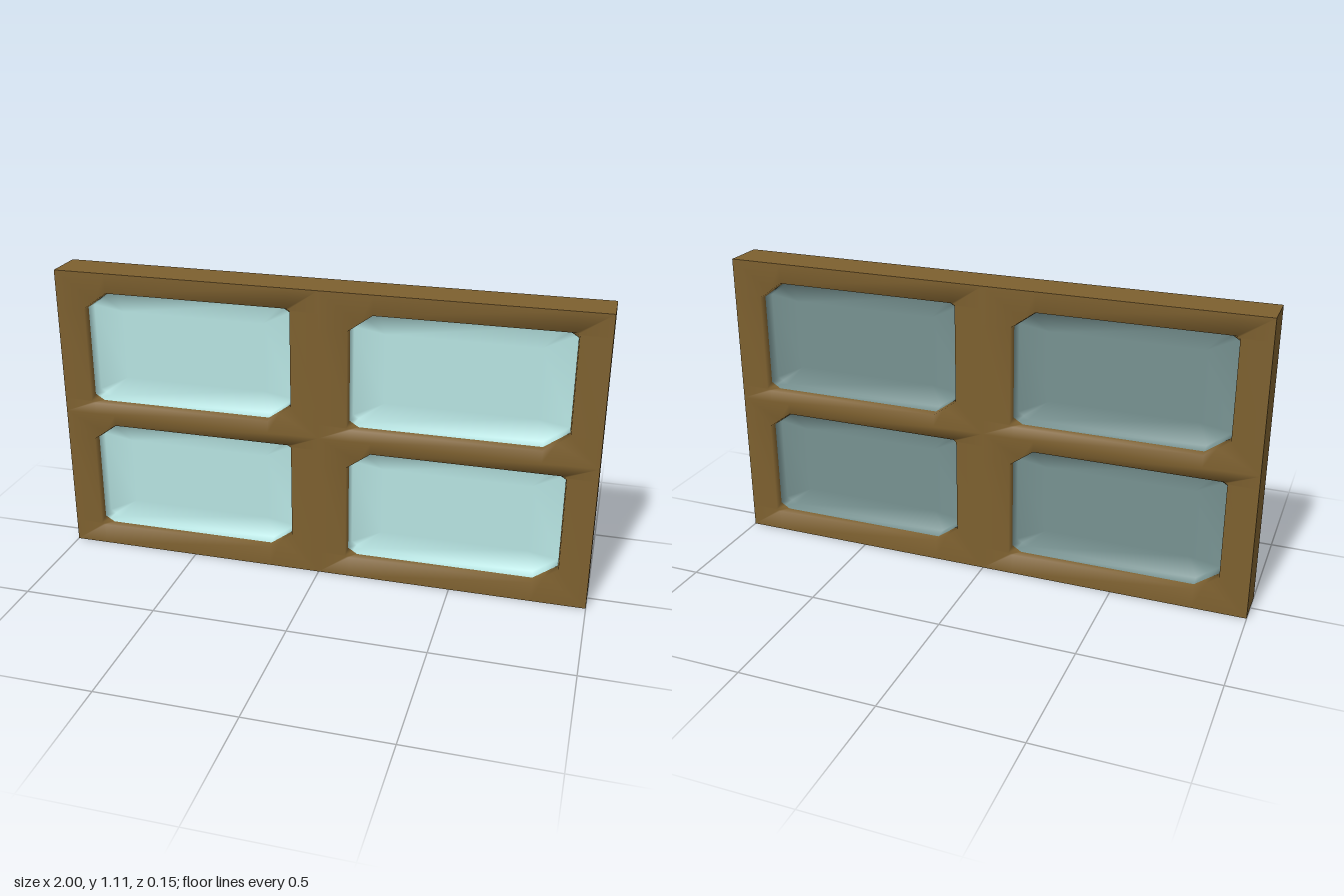
import * as THREE from 'three';

const W = 2, H = 1.11, D = 0.152;
const FRONT = D / 2;

function material(name, color) {
  const m = new THREE.MeshStandardMaterial({ color });
  m.name = name;
  return m;
}
const wood = material('brownWood', 0x7d602f);
const frontGlass = material('paleBlueGlass', 0xb7e4e2);
const backGlass = material('greyBlueGlass', 0x779291);

// Corners of a panel, anticlockwise from the upper right
const corners = [[1, 1], [-1, 1], [-1, -1], [1, -1]];

// Loop of three points per corner of a w by h half-size rectangle.
// big: size of the cuts at upper left and lower right; small: at the other two.
function cutLoop(cx, cy, w, h, big, small, z) {
  return corners.flatMap(([sx, sy], k) => {
    const [a, b] = k % 2 ? big : small;
    const side = [cx + sx * w, cy + sy * (h - b), z];
    const end = [cx + sx * (w - a), cy + sy * h, z];
    const mid = side.map((v, i) => (v + end[i]) / 2);
    return k % 2 ? [end, mid, side] : [side, mid, end];
  });
}

// Outer border of the panel: the rim points moved straight out to its edges
function borderLoop(rim, sx, row) {
  const x0 = sx * 0.5, y0 = H * (row ? 0.75 : 0.25);
  return corners.flatMap(([cx, cy], k) => {
    const x = x0 + cx * 0.5, y = y0 + (cy * H) / 4;
    const first = rim[k * 3], last = rim[k * 3 + 2];
    const corner = [x, y, FRONT];
    return k % 2
      ? [[first[0], y, FRONT], corner, [x, last[1], FRONT]]
      : [[x, first[1], FRONT], corner, [last[0], y, FRONT]];
  });
}

// One quarter of a face: frame border, steep recess wall and glass, smoothly shaded
function panelGeometry(sx, row) {
  const cx = sx * 0.498, cy = row ? 0.818 : 0.296;
  const rim = cutLoop(cx, cy, 0.394, 0.218, [0.09, 0.065], [0.012, 0.008], FRONT);
  const loops = [
    borderLoop(rim, sx, row),
    rim,
    cutLoop(cx, cy, 0.39, 0.215, [0.088, 0.064], [0.035, 0.022], FRONT - 0.03), // top of the glass
    cutLoop(cx, cy, 0.386, 0.212, [0.086, 0.063], [0.04, 0.026], FRONT - 0.072), // foot of the wall
    cutLoop(cx, cy, 0.27, 0.13, [0, 0], [0, 0], FRONT - 0.072), // middle of the glass
  ];
  const n = 12, index = [];
  for (let k = 0; k < loops.length - 1; k++) {
    for (let i = 0; i < n; i++) {
      const a = k * n + i, b = k * n + ((i + 1) % n);
      index.push(a, b, b + n, a, b + n, a + n);
    }
  }
  index.push(49, 52, 55, 49, 55, 58);
  const geo = new THREE.BufferGeometry();
  geo.setAttribute('position', new THREE.Float32BufferAttribute(loops.flat(2), 3));
  geo.setIndex(index);
  const woodCount = 2 * n * 6;
  geo.addGroup(0, woodCount, 0);
  geo.addGroup(woodCount, index.length - woodCount, 1);
  geo.computeVertexNormals();
  return geo;
}

export function createModel() {
  const model = new THREE.Group();
  model.name = 'window';

  // Outer edges of the frame: a box without its front and back
  const box = new THREE.BoxGeometry(W, H, D);
  box.setIndex(Array.from(box.index.array.slice(0, 24)));
  box.clearGroups();
  const edges = new THREE.Mesh(box, wood);
  edges.name = 'frameEdges';
  edges.position.y = H / 2;
  model.add(edges);

  // Four panels on the front, and the same turned round for the back
  for (const [side, glass, turn] of [['front', frontGlass, 0], ['back', backGlass, Math.PI]]) {
    const face = new THREE.Group();
    face.name = side + 'Face';
    face.rotation.y = turn;
    for (const sx of [-1, 1]) {
      for (const row of [0, 1]) {
        const panel = new THREE.Mesh(panelGeometry(sx, row), [wood, glass]);
        panel.name = (row ? 'upper' : 'lower') + 'Pane';
        face.add(panel);
      }
    }
    model.add(face);
  }
  return model;
}
